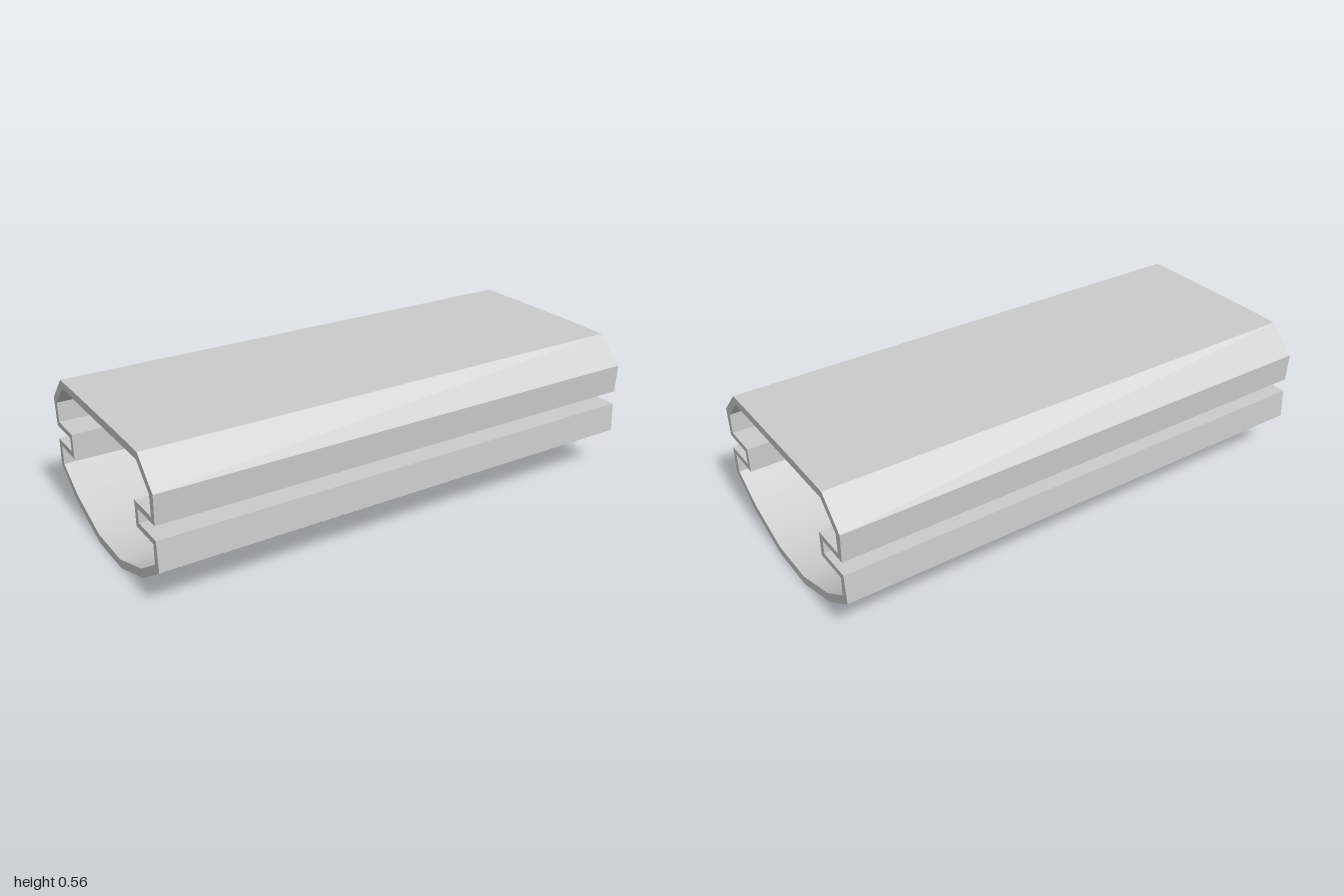
import * as THREE from 'three';
import { toCreasedNormals } from 'three/addons/utils/BufferGeometryUtils.js';

const LENGTH = 2;

// Half profiles [depth, height], from bottom centre to top centre
const outerHalf = [
  [0.102, 0], [0.313, 0.072], [0.456, 0.168], [0.45, 0.283],
  [0.314, 0.283], [0.314, 0.337], [0.45, 0.337], [0.456, 0.45],
  [0.352, 0.554], [0.155, 0.556],
];
const innerHalf = [
  [0.1, 0.034], [0.3, 0.103], [0.426, 0.184], [0.426, 0.261],
  [0.291, 0.261], [0.291, 0.359], [0.426, 0.359], [0.426, 0.438],
  [0.339, 0.524],
];

// Mirror a half profile into a closed outline
function closedOutline(half) {
  const mirrored = half.map(([d, y]) => [-d, y]).reverse();
  return [...half, ...mirrored].map(([d, y]) => new THREE.Vector2(d, y));
}

export function createModel() {
  const group = new THREE.Group();
  group.name = 'hollowRail';

  // Hollow section with a slot along each side
  const section = new THREE.Shape(closedOutline(outerHalf));
  section.holes.push(new THREE.Path(closedOutline(innerHalf)));

  // Sweep along x; shallow bends of the underside stay smooth
  const swept = new THREE.ExtrudeGeometry(section, { depth: LENGTH, bevelEnabled: false });
  swept.translate(0, 0, -LENGTH / 2);
  swept.rotateY(Math.PI / 2);

  const rail = new THREE.Mesh(
    toCreasedNormals(swept, THREE.MathUtils.degToRad(25)),
    new THREE.MeshStandardMaterial({ color: 0xcccccc }),
  );
  rail.name = 'slottedTube';
  group.add(rail);
  return group;
}
